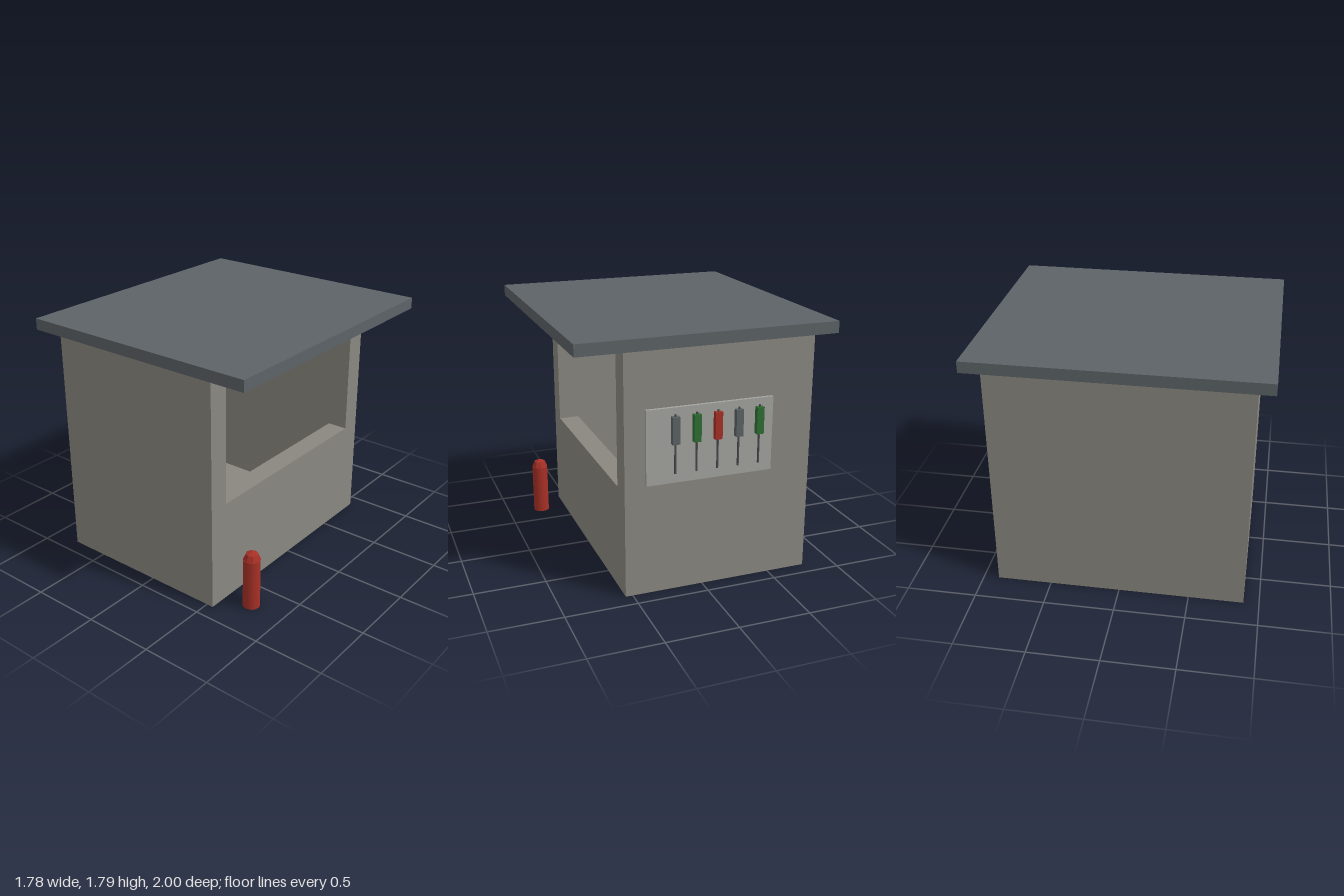
import * as THREE from 'three';

const mat = (name, color) => {
  const m = new THREE.MeshStandardMaterial({ color });
  m.name = name;
  return m;
};

export function createModel() {
  const model = new THREE.Group();
  model.name = 'guardBooth';

  const concrete = mat('concrete', 0x8a8780);
  const slate = mat('slate', 0x5c6366);
  const panelGrey = mat('panelGrey', 0xa3a39f);
  const steel = mat('steel', 0x4c5052);
  const red = mat('red', 0xa63026);
  const green = mat('green', 0x2f6f33);

  const add = (parent, name, geometry, material) => {
    const mesh = new THREE.Mesh(geometry, material);
    mesh.name = name;
    parent.add(mesh);
    return mesh;
  };
  // Box given by its lower and upper limits on each axis
  const box = (parent, name, [x0, x1], [y0, y1], [z0, z1], material) => {
    const mesh = add(parent, name, new THREE.BoxGeometry(x1 - x0, y1 - y0, z1 - z0), material);
    mesh.position.set((x0 + x1) / 2, (y0 + y1) / 2, (z0 + z1) / 2);
    return mesh;
  };

  // Hollow booth
  const X0 = -0.78, X1 = 0.55, Z = 0.89, H = 1.71, T = 0.15, SILL = 0.74, FLOOR = 0.06;
  const booth = new THREE.Group();
  booth.name = 'booth';
  model.add(booth);
  box(booth, 'closedSideWall', [X0, X0 + T], [0, H], [-Z, Z], concrete);
  box(booth, 'frontWall', [X0 + T, X1 - T], [0, H], [Z - T, Z], concrete);
  box(booth, 'backWall', [X0 + T, X1 - T], [0, H], [-Z, T - Z], concrete);
  box(booth, 'floor', [X0 + T, X1 - T], [0, FLOOR], [T - Z, Z - T], concrete);

  // Open side: a U-shaped wall around the wide hatch
  const u = new THREE.Shape([
    [-Z, 0], [Z, 0], [Z, H], [Z - T, H], [Z - T, SILL], [T - Z, SILL], [T - Z, H], [-Z, H],
  ].map(([a, b]) => new THREE.Vector2(a, b)));
  const hatch = add(booth, 'hatchWall',
    new THREE.ExtrudeGeometry(u, { depth: T, bevelEnabled: false }), concrete);
  hatch.rotation.y = Math.PI / 2;
  hatch.position.x = X1 - T;

  // Overhanging flat roof
  box(model, 'roof', [-0.89, 0.89], [H, 1.79], [-1, 1], slate);

  // Bollard beside the hatch: smooth post with a faceted domed cap
  const bollard = new THREE.Group();
  bollard.name = 'bollard';
  bollard.position.set(0.74, 0, 0.705);
  model.add(bollard);
  const R = 0.06, postHeight = 0.37;
  const post = add(bollard, 'bollardPost', new THREE.CylinderGeometry(R, R, postHeight, 16), red);
  post.position.y = postHeight / 2;
  const dome = new THREE.SphereGeometry(R, 8, 2, 0, Math.PI * 2, 0, Math.PI / 2).toNonIndexed();
  dome.computeVertexNormals();
  add(bollard, 'bollardCap', dome, red).position.y = postHeight;

  // Board on the back wall with a row of hanging handles
  const board = new THREE.Group();
  board.name = 'handleBoard';
  model.add(board);
  box(board, 'backingBoard', [-0.48, 0.41], [0.785, 1.3], [-0.913, -Z], panelGrey);
  [slate, green, red, slate, green].forEach((colour, i) => {
    const x = 0.217 - i * 0.148;
    box(board, 'handleGrip', [x - 0.025, x + 0.025], [1.06, 1.245], [-0.95, -0.913], colour);
    const rod = add(board, 'handleRod', new THREE.CylinderGeometry(0.0075, 0.0075, 0.405, 8), steel);
    rod.position.set(x, 1.057, -0.929);
  });

  return model;
}
